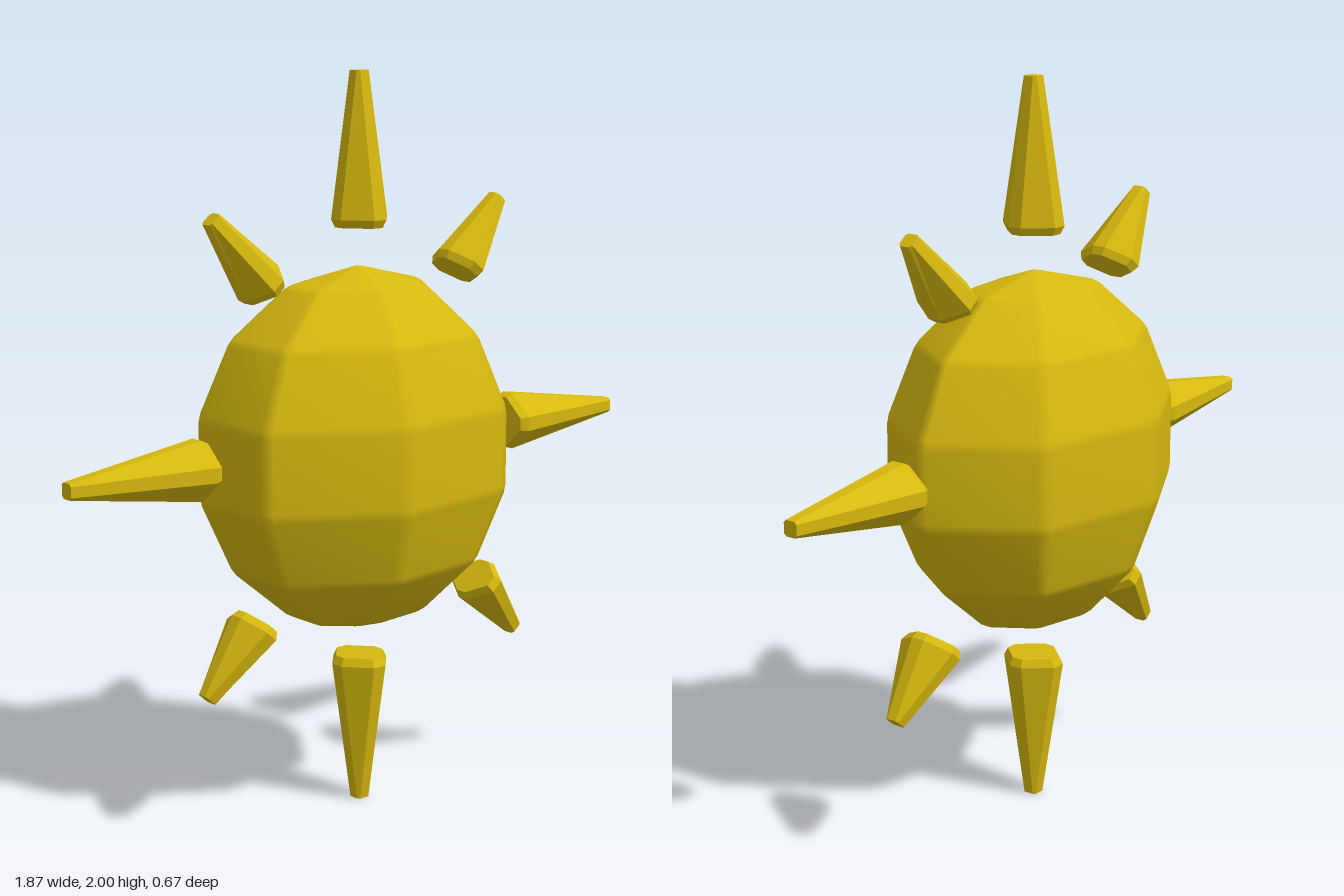
import * as THREE from 'three';
import { mergeVertices } from 'three/addons/utils/BufferGeometryUtils.js';

const COLOR = 0xd6b80e;

// Replace a corner by two points, a short way along each neighbouring edge
function bevel(prev, p, next, t = 0.06) {
  return [p.clone().lerp(prev, t), p.clone().lerp(next, t)];
}

// Seven-sided, seven-banded ellipsoid with softened edges
function bodyGeometry(rx, ry, rz) {
  const N = 7;
  const corner = k => {
    const a = Math.PI / 2 + (k * 2 * Math.PI) / N;
    return new THREE.Vector2(Math.sin(a), Math.cos(a));
  };
  const ring = k => {
    const a = (k * Math.PI) / N;
    return new THREE.Vector2(Math.sin(a), -Math.cos(a));
  };
  const section = [];
  for (let k = 0; k < N; k++) section.push(...bevel(corner(k - 1), corner(k), corner(k + 1)));

  const profile = [new THREE.Vector2(0, -0.995)];
  profile.push(ring(0).lerp(ring(1), 0.06));
  for (let k = 1; k < N; k++) profile.push(...bevel(ring(k - 1), ring(k), ring(k + 1)));
  profile.push(ring(N).lerp(ring(N - 1), 0.06));
  profile.push(new THREE.Vector2(0, 0.995));

  const geo = new THREE.LatheGeometry(profile, section.length);
  const pos = geo.attributes.position;
  for (let v = 0; v < pos.count; v++) {
    const s = section[Math.floor(v / profile.length) % section.length];
    const p = profile[v % profile.length];
    pos.setXYZ(v, p.x * s.x * rx, p.y * ry, p.x * s.y * rz);
  }
  geo.deleteAttribute('normal');
  geo.deleteAttribute('uv');
  const merged = mergeVertices(geo, 1e-5);
  merged.computeVertexNormals();
  return merged;
}

// Diamond-section spike with narrow flats on its corners and a chamfered base
function rayGeometry(length, w, d) {
  const geo = new THREE.CylinderGeometry(1, 1, 1, 8, 2, false, Math.PI / 8);
  const pos = geo.attributes.position;
  const levels = [
    { y: 0, w: w * 0.87, d: d * 0.87, c: 0.017 },
    { y: 0.022, w, d, c: 0.02 },
    { y: length, w: 0.021, d: 0.021, c: 0.014 },
  ];
  for (let v = 0; v < pos.count; v++) {
    const x = pos.getX(v), z = pos.getZ(v);
    const l = levels[Math.round((pos.getY(v) + 0.5) * 2)];
    if (Math.hypot(x, z) < 0.5) pos.setXYZ(v, 0, l.y, 0);
    else if (Math.abs(x) > Math.abs(z)) pos.setXYZ(v, Math.sign(x) * l.w, l.y, Math.sign(z) * l.c);
    else pos.setXYZ(v, Math.sign(x) * l.c, l.y, Math.sign(z) * l.d);
  }
  geo.computeVertexNormals();
  return geo;
}

export function createModel() {
  const model = new THREE.Group();
  model.name = 'sun';
  model.rotation.y = 0.045;

  const smooth = new THREE.MeshStandardMaterial({ color: COLOR });
  const flat = new THREE.MeshStandardMaterial({ color: COLOR, flatShading: true });

  const body = new THREE.Mesh(bodyGeometry(0.49, 0.498, 0.355), smooth);
  body.name = 'body';
  body.position.set(-0.015, 0.99, 0);
  model.add(body);

  // Rays: name, base x/y, tip x/y, half width
  const rays = [
    ['topRay', -0.005, 1.59, -0.005, 2.0, 0.08],
    ['bottomRay', -0.005, 0.415, -0.005, 0, 0.08],
    ['leftRay', 0.52, 1.0, 0.935, 1.0, 0.08],
    ['rightRay', -0.52, 1.0, -0.937, 1.0, 0.08],
    ['upperLeftRay', 0.333, 1.447, 0.492, 1.638, 0.066],
    ['upperRightRay', -0.328, 1.45, -0.49, 1.64, 0.066],
    ['lowerLeftRay', 0.413, 0.563, 0.57, 0.385, 0.066],
    ['lowerRightRay', -0.36, 0.563, -0.522, 0.383, 0.066],
  ];
  for (const [name, bx, by, tx, ty, w] of rays) {
    const dx = tx - bx, dy = ty - by;
    const ray = new THREE.Mesh(rayGeometry(Math.hypot(dx, dy), w, 0.088), flat);
    ray.name = name;
    ray.position.set(bx, by, -0.006);
    ray.rotation.z = Math.atan2(-dx, dy);
    model.add(ray);
  }
  return model;
}
